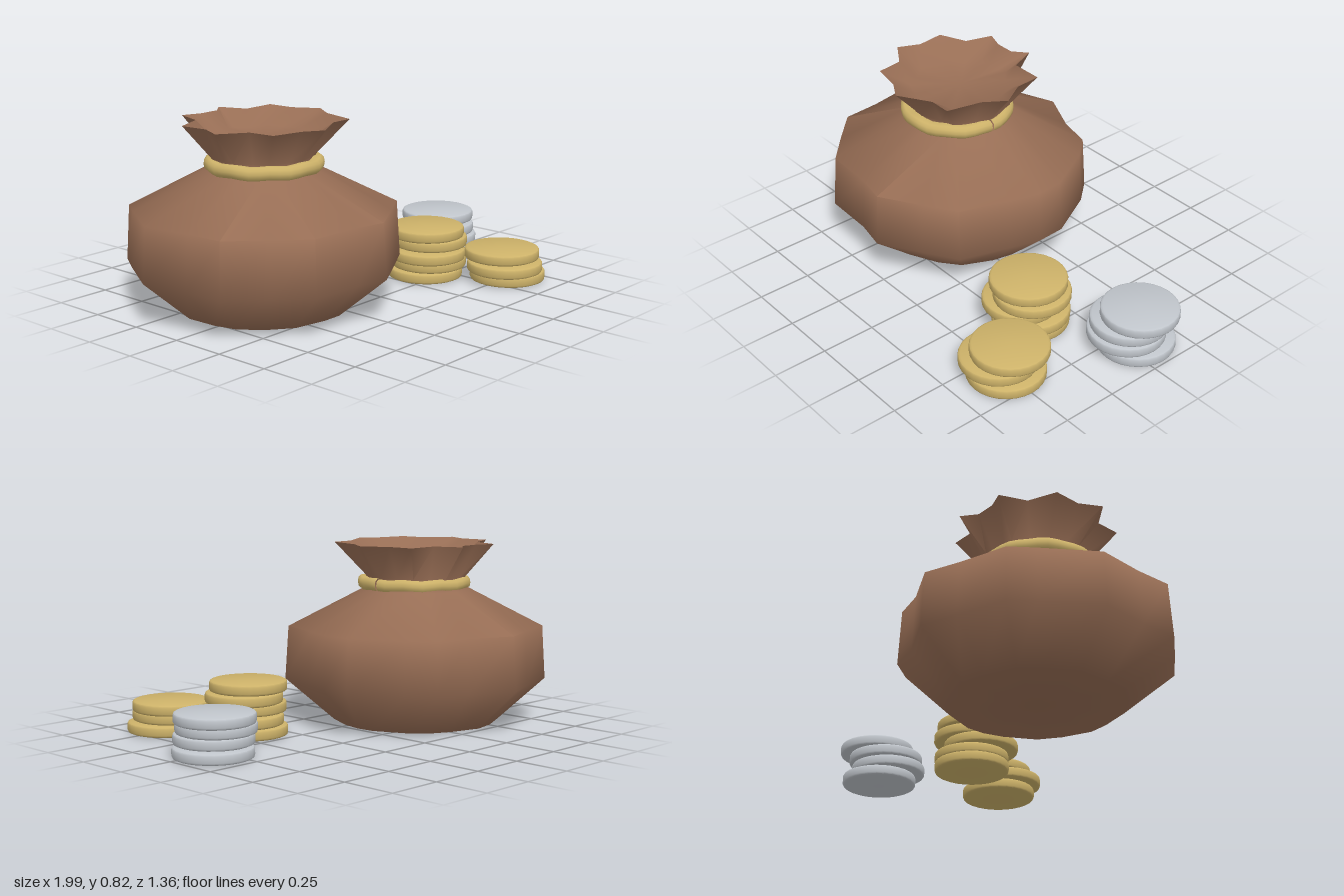
import * as THREE from 'three';
import { toCreasedNormals } from 'three/addons/utils/BufferGeometryUtils.js';

const material = (name, color) => new THREE.MeshStandardMaterial({ name, color });

// Gathered cloth outlines: [angle in degrees, radius], alternating folds and valleys
const BELLY = [[2, .587], [17, .566], [40, .61], [57, .58], [78, .614], [92, .57], [115, .617],
  [133, .587], [152, .615], [169, .566], [191, .604], [218, .573], [230, .597], [253, .552],
  [270, .59], [293, .533], [309, .583], [323, .575], [349, .591]];
const RIM = [[3, .358], [22, .314], [48, .379], [62, .318], [90, .37], [105, .33], [128, .367],
  [145, .294], [166, .371], [182, .315], [203, .359], [224, .28], [243, .36], [255, .3],
  [273, .29], [283, .354], [301, .256], [322, .356], [342, .305]];

// One cross-section; mix turns the belly angles into the rim angles,
// round pulls the radii towards a plain circle of radius r
function ring(y, r, mix, round) {
  return BELLY.map(([a0, r0], i) => {
    const [a1, r1] = RIM[i];
    const a = THREE.MathUtils.degToRad(a0 + (a1 - a0) * mix);
    const fold = mix < 0.5 ? r0 / 0.587 : r1 / 0.335;
    const rad = r * (round + (1 - round) * fold);
    return [Math.cos(a) * rad, y, Math.sin(a) * rad];
  });
}

// Skin over stacked rings, closed by a centre point at both ends
function loft(rings, yStart, yEnd) {
  const n = rings[0].length;
  const pos = rings.flat(2);
  const index = [];
  for (let j = 0; j < rings.length - 1; j++) {
    for (let i = 0; i < n; i++) {
      const k = (i + 1) % n;
      const a = j * n + i, b = j * n + k, c = a + n, d = b + n;
      index.push(a, c, b, b, c, d);
    }
  }
  const start = rings.length * n, end = start + 1, last = (rings.length - 1) * n;
  pos.push(0, yStart, 0, 0, yEnd, 0);
  for (let i = 0; i < n; i++) {
    const k = (i + 1) % n;
    index.push(start, i, k, end, last + k, last + i);
  }
  const geo = new THREE.BufferGeometry();
  geo.setAttribute('position', new THREE.Float32BufferAttribute(pos, 3));
  geo.setIndex(index);
  return toCreasedNormals(geo, 1.15);
}

const profile = (pts) => pts.map(([x, y]) => new THREE.Vector2(x, y));

export function createModel() {
  const model = new THREE.Group();
  model.name = 'coinSack';
  const cloth = material('brown cloth', 0x986e55);
  cloth.side = THREE.DoubleSide;
  const gold = material('gold', 0xcdb269);
  const silver = material('silver', 0xc0c5cb);

  // Sack body, neck, flared mouth and the sunken cloth inside it
  const sack = new THREE.Mesh(loft([
    ring(0, 0.38, 0, 0.7),
    ring(0.195, 0.587, 0, 0),
    ring(0.44, 0.572, 0, 0),
    ring(0.61, 0.245, 0.4, 0.7),
    ring(0.64, 0.225, 0.7, 0.8),
    ring(0.67, 0.225, 1, 0.7),
    ring(0.822, 0.335, 1, 0),
    ring(0.75, 0.225, 1, 0.6),
  ], 0, 0.75), cloth);
  sack.name = 'sack';
  sack.position.set(-0.4, 0, -0.09);
  model.add(sack);

  // Tie around the neck, with a narrow split on the left side
  const gap = 0.03;
  const tieGeo = new THREE.LatheGeometry(profile([
    [0.21, 0.612], [0.245, 0.61], [0.258, 0.622], [0.261, 0.638],
    [0.258, 0.655], [0.245, 0.666], [0.21, 0.664], [0.21, 0.612],
  ]), 36, Math.PI / 2 + gap / 2, Math.PI * 2 - gap);
  // Slight unevenness following the gathers
  const p = tieGeo.attributes.position;
  for (let i = 0; i < p.count; i++) {
    const a = Math.atan2(p.getZ(i), p.getX(i));
    p.setY(i, p.getY(i) + 0.003 * Math.sin(a * 9));
  }
  const tie = new THREE.Mesh(toCreasedNormals(tieGeo, 0.8), gold);
  tie.name = 'neckTie';
  tie.position.set(-0.405, 0, -0.07);
  model.add(tie);

  // Coins with rounded edges
  const R = 0.173, H = 0.049;
  const coinGeo = toCreasedNormals(new THREE.LatheGeometry(profile([
    [0, 0], [R - 0.012, 0], [R - 0.003, 0.004], [R, 0.011],
    [R, H - 0.011], [R - 0.003, H - 0.004], [R - 0.012, H], [0, H],
  ]), 28), 0.75);

  // Stacks listed from the bottom coin up as [x, z]
  const stacks = [
    ['tallGoldStack', gold, [[.405, .18], [.42, .19], [.38, .215], [.425, .19], [.4, .19]]],
    ['shortGoldStack', gold, [[.615, .5], [.578, .51], [.607, .472]]],
    ['silverStack', silver, [[.82, -.06], [.79, -.03], [.79, -.045], [.823, -.075]]],
  ];
  for (const [name, mat, coins] of stacks) {
    const stack = new THREE.Group();
    stack.name = name;
    coins.forEach(([x, z], i) => {
      const coin = new THREE.Mesh(coinGeo, mat);
      coin.name = 'coin';
      coin.position.set(x, i * H, z);
      stack.add(coin);
    });
    model.add(stack);
  }
  return model;
}
